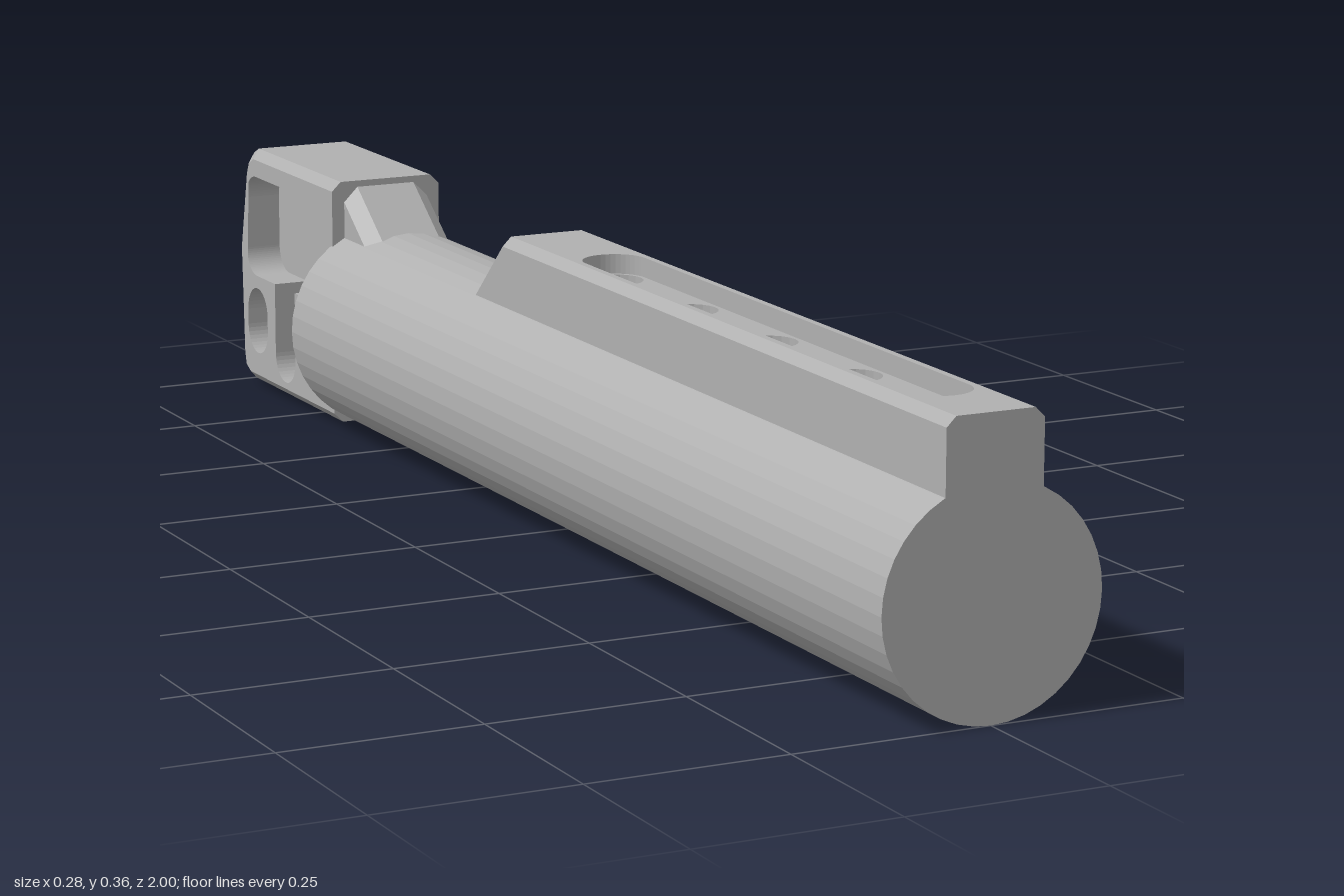
import * as THREE from 'three';

const flat = (g) => {
  const f = g.index ? g.toNonIndexed() : g;
  f.computeVertexNormals();
  return f;
};

// Mirrored copy across x = 0, with the corner order restored
function mirrorX(g) {
  const m = g.clone(), p = m.attributes.position;
  for (let i = 0; i < p.count; i += 3) {
    const c = [0, 2, 1].map((k) => [-p.getX(i + k), p.getY(i + k), p.getZ(i + k)]);
    c.forEach((v, k) => p.setXYZ(i + k, ...v));
  }
  m.computeVertexNormals();
  return m;
}

// Chamfered bar through [z, topHeight] stations, front to back
function loftBar(stations, w, c, bottom) {
  const pos = [], idx = [], n = 6;
  for (const [z, t] of stations) {
    const ring = [[-w, bottom], [w, bottom], [w, t - c], [w - c, t], [c - w, t], [-w, t - c]];
    ring.forEach(([x, y]) => pos.push(x, y, z));
  }
  const last = (stations.length - 1) * n;
  for (let s = 0; s < last; s += n) {
    for (let i = 0; i < n; i++) {
      const j = (i + 1) % n;
      idx.push(s + i, s + n + i, s + j, s + j, s + n + i, s + n + j);
    }
  }
  for (let i = 1; i < n - 1; i++) idx.push(0, i, i + 1, last, last + i + 1, last + i);
  const g = new THREE.BufferGeometry();
  g.setAttribute('position', new THREE.Float32BufferAttribute(pos, 3));
  g.setIndex(idx);
  return flat(g);
}

const extrude = (shape, depth) =>
  new THREE.ExtrudeGeometry(shape, { depth, bevelEnabled: false, curveSegments: 10 });

// Vertical or horizontal capsule outline
function capsule(cx, cy, r, half, vertical) {
  const p = new THREE.Path();
  if (vertical) {
    p.absarc(cx, cy + half, r, 0, Math.PI);
    p.absarc(cx, cy - half, r, Math.PI, Math.PI * 2);
  } else {
    p.absarc(cx + half, cy, r, -Math.PI / 2, Math.PI / 2);
    p.absarc(cx - half, cy, r, Math.PI / 2, Math.PI * 1.5);
  }
  p.closePath();
  return p;
}

export function createModel() {
  const group = new THREE.Group();
  const grey = new THREE.MeshStandardMaterial({ color: 0xb0b0b0 });
  grey.name = 'grey metal';
  const add = (name, g, parent = group) => {
    const m = new THREE.Mesh(flat(g), grey);
    m.name = name;
    parent.add(m);
    return m;
  };

  // Main tube
  add('tube', new THREE.CylinderGeometry(0.14, 0.14, 1.66, 40)
    .rotateX(Math.PI / 2).translate(0, 0.141, 0.17));

  // Top rail: solid base, layer with holes, layer with the long slot
  const rail = new THREE.Group();
  rail.name = 'rail';
  group.add(rail);
  const layer = (name, y0, y1, holes) => {
    const s = new THREE.Shape([[-0.05, -1], [0.05, -1], [0.05, 0], [-0.05, 0]]
      .map((p) => new THREE.Vector2(...p)));
    s.holes = holes;
    add(name, extrude(s, y1 - y0).rotateX(-Math.PI / 2).translate(0, y0, 0), rail);
  };
  layer('railBase', 0.2, 0.285, []);
  layer('railHoles', 0.285, 0.332, [0.06, 0.265, 0.47, 0.675, 0.87].map((z) =>
    new THREE.Path().absarc(0, -z, 0.036, 0, Math.PI * 2)));
  const slot = new THREE.Path();
  slot.absarc(0, -0.06, 0.041, 0, Math.PI);
  slot.absarc(0, -0.87, 0.041, Math.PI, Math.PI * 2);
  slot.closePath();
  layer('railSlot', 0.332, 0.357, [slot]);

  // Chamfered rail sides
  const strip = new THREE.Shape([[0.05, 0.2], [0.062, 0.2], [0.062, 0.345], [0.05, 0.357]]
    .map((p) => new THREE.Vector2(...p)));
  const side = flat(extrude(strip, 1));
  add('railSideLeft', side, rail);
  add('railSideRight', mirrorX(side), rail);

  // Sloped rail end and the small ramp before the end block
  add('railRamp', loftBar([[0, 0.357], [-0.14, 0.357], [-0.245, 0.258]], 0.062, 0.012, 0.2), rail);
  add('rearRamp', loftBar([[-0.555, 0.263], [-0.66, 0.34]], 0.062, 0.02, 0.2));

  // End block: profile drawn as (-z, y)
  const block = new THREE.Group();
  block.name = 'endBlock';
  group.add(block);
  const outline = [[0.655, 0.008], [0.972, 0.008], [0.988, 0.016], [0.993, 0.035], [1, 0.2],
    [0.976, 0.318], [0.968, 0.336], [0.95, 0.345], [0.655, 0.345]]
    .map((p) => new THREE.Vector2(...p));
  const ovals = () => [0.745, 0.93].map((u) => capsule(u, 0.1, 0.036, 0.011, true));

  // T-shaped pocket
  const pocket = () => {
    const p = new THREE.Path(), r = 0.035, [a, b, lo, hi] = [0.69, 0.967, 0.165, 0.308];
    p.moveTo(0.793, 0.066);
    p.absarc(0.829, 0.066, 0.036, Math.PI, Math.PI * 2);
    p.lineTo(0.865, lo);
    p.absarc(b - r, lo + r, r, -Math.PI / 2, 0);
    p.absarc(b - r, hi - r, r, 0, Math.PI / 2);
    p.absarc(a + r, hi - r, r, Math.PI / 2, Math.PI);
    p.absarc(a + r, lo + r, r, Math.PI, Math.PI * 1.5);
    p.lineTo(0.793, lo);
    p.closePath();
    return p;
  };
  const slab = (x0, x1, holes) => {
    const s = new THREE.Shape(outline);
    s.holes = holes;
    return extrude(s, x1 - x0).translate(0, 0, x0);
  };
  const toWorld = (g) => flat(g.rotateY(Math.PI / 2));

  add('blockWeb', toWorld(slab(-0.03, 0.03, ovals())), block);
  const plate = toWorld(slab(0.03, 0.067, [pocket(), ...ovals()]));

  // Outer face: its far outline is drawn in to form the chamfer
  const face = slab(0.067, 0.08, [pocket(), ...ovals()]);
  const p = face.attributes.position;
  for (let i = 0; i < p.count; i++) {
    const u = p.getX(i), v = p.getY(i);
    const onEdge = outline.some((o) => Math.hypot(o.x - u, o.y - v) < 1e-4);
    if (onEdge && p.getZ(i) > 0.079) {
      p.setX(i, 0.655 + (u - 0.655) * 0.963);
      p.setY(i, 0.1765 + (v - 0.1765) * 0.925);
    }
  }
  toWorld(face);
  add('blockPlateLeft', plate, block);
  add('blockPlateRight', mirrorX(plate), block);
  add('blockFaceLeft', face, block);
  add('blockFaceRight', mirrorX(face), block);

  return group;
}
